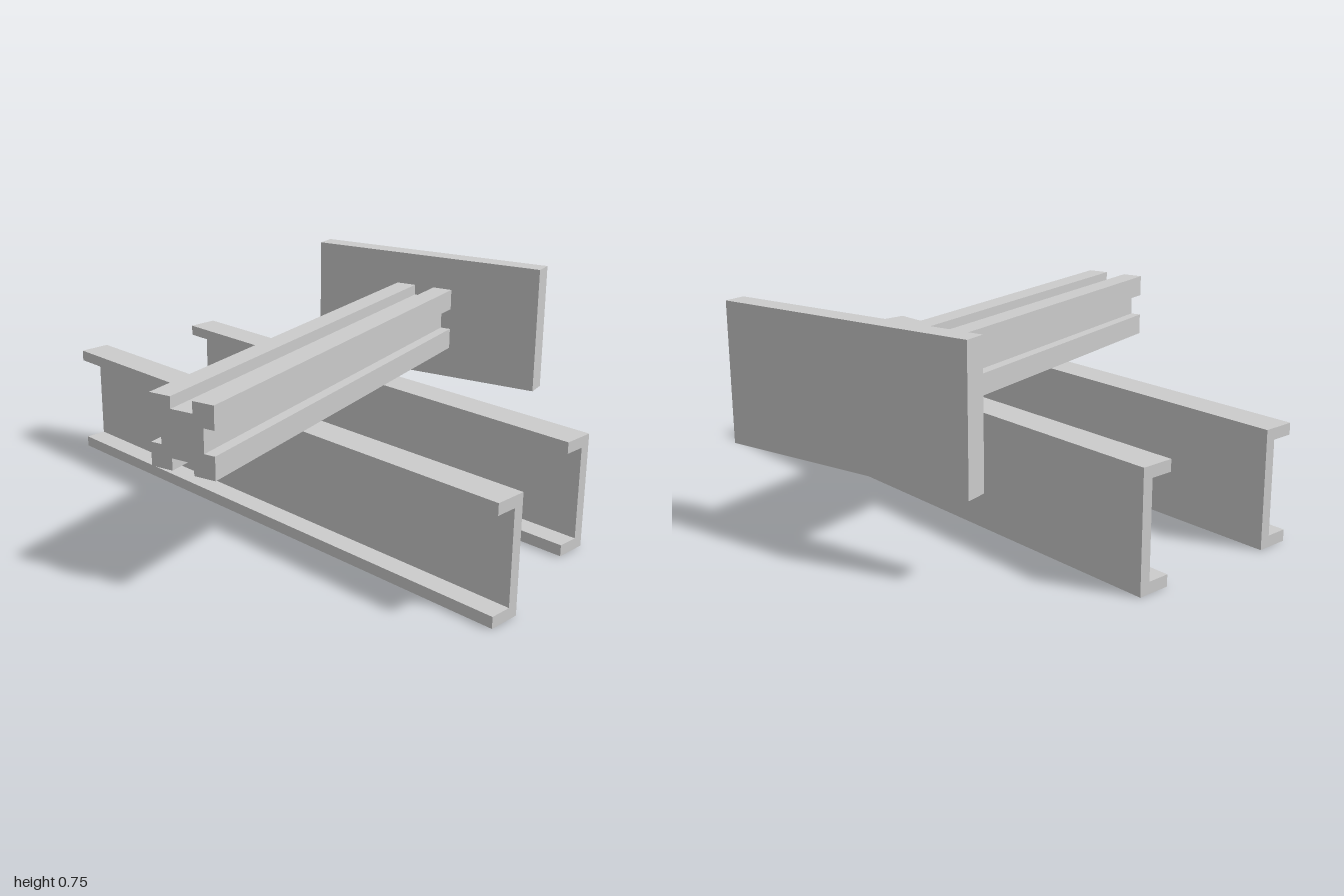
import * as THREE from 'three';

const material = new THREE.MeshStandardMaterial({ color: 0xcccccc, flatShading: true });

// Extrude a closed outline along z, centred on its length
function extrude(points, length) {
  const shape = new THREE.Shape(points.map(([x, y]) => new THREE.Vector2(x, y)));
  return new THREE.ExtrudeGeometry(shape, { depth: length, bevelEnabled: false })
    .translate(0, 0, -length / 2);
}

function addMesh(group, name, geometry, x, y, z) {
  const mesh = new THREE.Mesh(geometry, material);
  mesh.name = name;
  mesh.position.set(x, y, z);
  group.add(mesh);
  return mesh;
}

// C-section rail along x: web at the back, flanges pointing forward
function channelGeometry(length) {
  const w = 0.114 / 2, h = 0.397, t = 0.039, web = w - 0.037;
  return extrude([
    [-w, 0], [w, 0], [w, h], [-w, h],
    [-w, h - t], [web, h - t], [web, t], [-w, t],
  ], length).rotateY(Math.PI / 2);
}

// Square section with a slot in the middle of every side
function slottedGeometry(length) {
  const r = 0.117, s = 0.04, d = r - 0.039;
  const side = [[-r, -r], [-s, -r], [-s, -d], [s, -d], [s, -r]];
  const points = [];
  for (let i = 0; i < 4; i++) {
    const c = [1, 0, -1, 0][i], n = [0, 1, 0, -1][i];
    for (const [x, y] of side) points.push([x * c - y * n, x * n + y * c]);
  }
  return extrude(points, length);
}

export function createModel() {
  const model = new THREE.Group();
  model.name = 'railAssembly';

  // Two parallel skewed channel rails
  const skew = -Math.atan2(0.515, 1.97);
  addMesh(model, 'frontChannel', channelGeometry(2.036), 0, 0, 0.232).rotation.y = skew;
  addMesh(model, 'rearChannel', channelGeometry(1.881), 0.075, 0, -0.302).rotation.y = skew;

  // Slotted beam resting across the rails
  addMesh(model, 'slottedBeam', slottedGeometry(1.585), 0.088, 0.514, 0.0375);

  // End plate closing the back of the beam
  addMesh(model, 'endPlate', new THREE.BoxGeometry(0.945, 0.475, 0.076), 0.088, 0.516, -0.793);

  return model;
}
